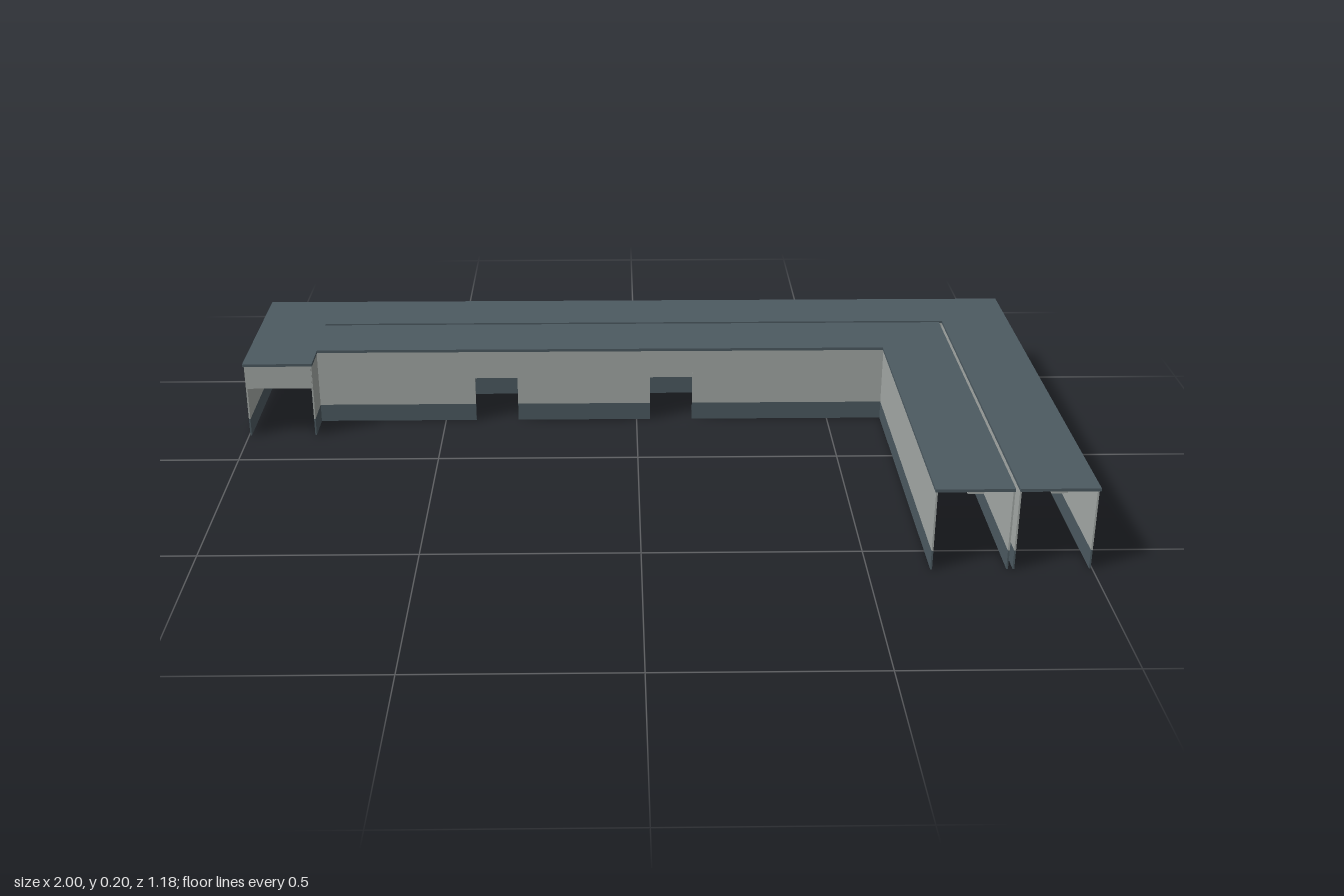
import * as THREE from 'three';

const wallGrey = new THREE.MeshStandardMaterial({ color: 0xa4a9a6 });
wallGrey.name = 'wall grey';
const slate = new THREE.MeshStandardMaterial({ color: 0x4c5a61 });
slate.name = 'slate';

const HEIGHT = 0.2, ROOF = 0.007, BAND = 0.046, DOOR = 0.132, THICK = 0.004;
const WALL_TOP = HEIGHT - ROOF;

// Box given by its limits
function block(name, material, x0, x1, y0, y1, z0, z1) {
  const mesh = new THREE.Mesh(new THREE.BoxGeometry(x1 - x0, y1 - y0, z1 - z0), material);
  mesh.position.set((x0 + x1) / 2, (y0 + y1) / 2, (z0 + z1) / 2);
  mesh.name = name;
  return mesh;
}

// Thin wall with a dark base band; along 'x' at z = at, or along 'z' at x = at
function wall(name, axis, at, from, to, doors = []) {
  const group = new THREE.Group();
  group.name = name;
  const h = THICK / 2;
  const add = (part, material, a, b, y0, y1) => group.add(axis === 'x'
    ? block(part, material, a, b, y0, y1, at - h, at + h)
    : block(part, material, at - h, at + h, y0, y1, a, b));
  let start = from;
  for (const [a, b] of [...doors, [to, to]]) {
    if (a > start) {
      add('baseBand', slate, start, a, 0, BAND);
      add('panel', wallGrey, start, a, BAND, WALL_TOP);
    }
    if (b > a) add('lintel', wallGrey, a, b, DOOR, WALL_TOP);
    start = b;
  }
  return group;
}

export function createModel() {
  const model = new THREE.Group();
  model.name = 'corridorBuilding';

  const L = -0.995, R = 0.995, B = -0.588, F = 0.586;   // outer limits
  const stubX = -0.828, stubZ = -0.145;                 // short arm
  const innerX = 0.642, innerZ = -0.236;                // courtyard side
  const sx0 = 0.813, sx1 = 0.823;                       // slit in the wing
  const sz0 = -0.42, sz1 = -0.41;                       // slit in the long arm
  const rightDoor = [0.035, 0.145], leftDoor = [-0.42, -0.31];

  // Outer walls
  model.add(
    wall('backWall', 'x', B, L, R, [rightDoor]),
    wall('outerWingWall', 'z', R, B, F),
    wall('outerEndWall', 'z', L, B, stubZ),
    wall('stubSideWall', 'z', stubX, innerZ, stubZ),
    wall('stubDoorway', 'x', stubZ, L, stubX, [[L, stubX]]),
    wall('courtyardWall', 'x', innerZ, stubX, innerX, [leftDoor, rightDoor]),
    wall('innerWingWall', 'z', innerX, innerZ, F),
  );

  // Double partition on both sides of the slit
  model.add(
    wall('rearPartition', 'x', sz0 - 0.002, stubX, sx1, []),
    wall('frontPartition', 'x', sz1 + 0.002, stubX, sx0, []),
    wall('outerWingPartition', 'z', sx1 + 0.002, sz0, F),
    wall('innerWingPartition', 'z', sx0 - 0.002, sz1, F),
    wall('partitionEnd', 'z', stubX - 0.002, sz0, sz1),
  );

  // Flat roof with the slit cut in from the wing end
  const e = 0.004;
  const outline = [
    [-1, B], [1, B], [1, F + e], [sx1, F + e], [sx1, sz0], [stubX, sz0],
    [stubX, sz1], [sx0, sz1], [sx0, F + e], [innerX - e, F + e],
    [innerX - e, innerZ + e], [stubX + e, innerZ + e], [stubX + e, stubZ + e], [-1, stubZ + e],
  ].map(([x, z]) => new THREE.Vector2(x, z));
  const roofShape = new THREE.ExtrudeGeometry(new THREE.Shape(outline), { depth: ROOF, bevelEnabled: false });
  const roof = new THREE.Mesh(roofShape.rotateX(Math.PI / 2), slate);
  roof.position.y = HEIGHT;
  roof.name = 'roof';
  model.add(roof);

  // Small ceiling strips along the two wing passages
  for (const x of [0.727, 0.91]) {
    model.add(block('ceilingStrip', wallGrey, x - 0.018, x + 0.018, 0.187, WALL_TOP, -0.3, F));
  }
  return model;
}
